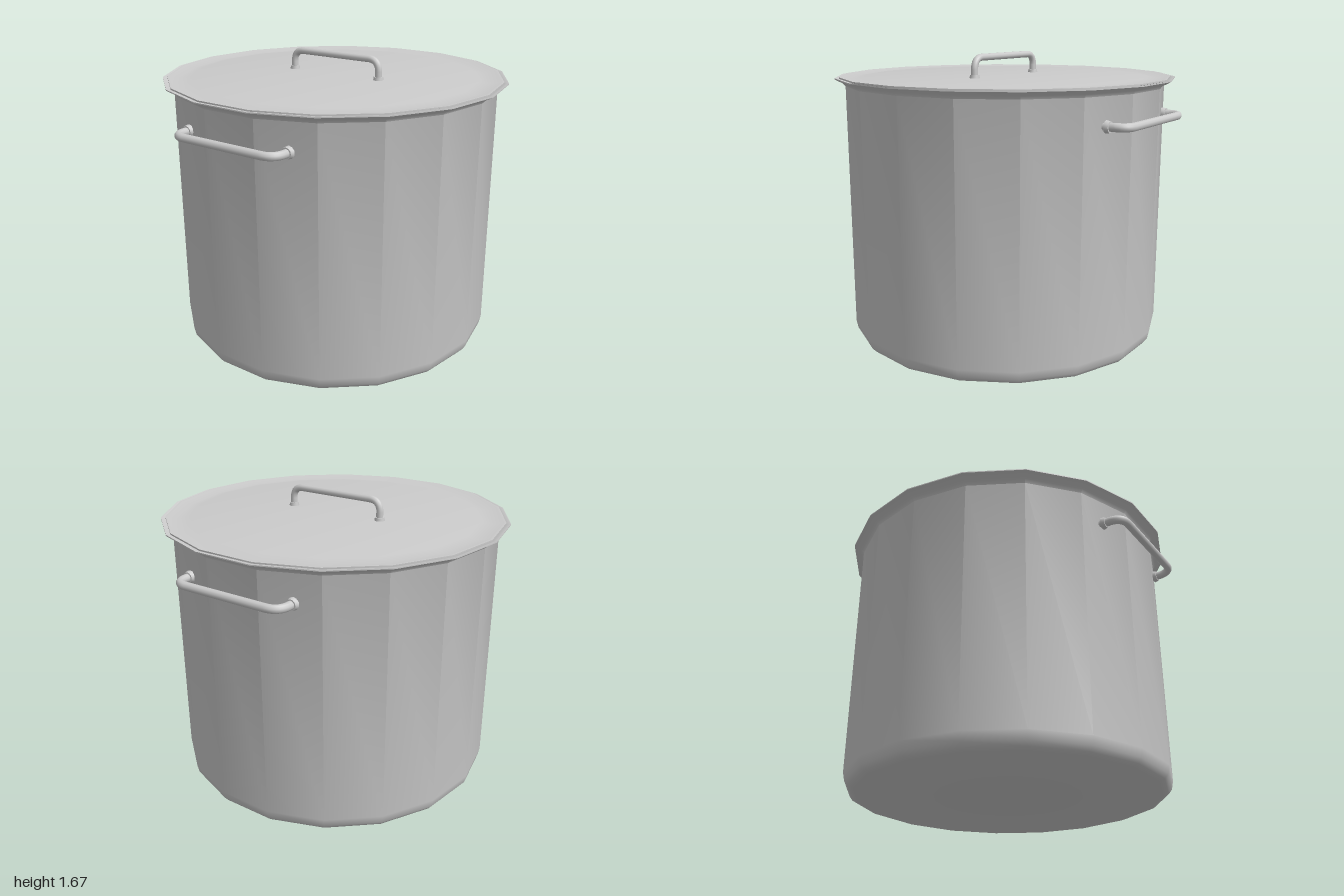
import * as THREE from 'three';
import { toCreasedNormals } from 'three/addons/utils/BufferGeometryUtils.js';

const SIDES = 18;
const grey = new THREE.MeshStandardMaterial({ color: 0xcccccc, side: THREE.DoubleSide });

function addMesh(parent, geometry, name) {
  const mesh = new THREE.Mesh(geometry, grey);
  mesh.name = name;
  parent.add(mesh);
  return mesh;
}

// Turned shape with a vertex on the x axis
function turned(profile) {
  const points = profile.map(([r, y]) => new THREE.Vector2(r, y));
  return toCreasedNormals(new THREE.LatheGeometry(points, SIDES, Math.PI / 2), 0.75);
}

// Bail handle: feet at y = 0, grip along x at the given height
function makeHandle(name, halfWidth, height, radius, bend, collarRadius) {
  const group = new THREE.Group();
  group.name = name;
  const path = new THREE.CurvePath();
  const v = (x, y) => new THREE.Vector3(x, y, 0);
  const inner = halfWidth - bend;
  const shoulder = height - bend * 0.85;
  path.add(new THREE.LineCurve3(v(-halfWidth, -0.02), v(-halfWidth, shoulder)));
  path.add(new THREE.QuadraticBezierCurve3(v(-halfWidth, shoulder), v(-halfWidth + bend * 0.12, height), v(-inner, height)));
  path.add(new THREE.LineCurve3(v(-inner, height), v(inner, height)));
  path.add(new THREE.QuadraticBezierCurve3(v(inner, height), v(halfWidth - bend * 0.12, height), v(halfWidth, shoulder)));
  path.add(new THREE.LineCurve3(v(halfWidth, shoulder), v(halfWidth, -0.02)));
  addMesh(group, new THREE.TubeGeometry(path, 72, radius, 10), 'grip');

  for (const side of [-1, 1]) {
    const collar = addMesh(group,
      toCreasedNormals(new THREE.CylinderGeometry(collarRadius * 0.88, collarRadius, 0.024, 12), 0.7), 'collar');
    collar.position.set(side * halfWidth, 0.006, 0);
  }
  return group;
}

export function createModel() {
  const model = new THREE.Group();
  model.name = 'stockPot';

  // Pot body: rounded base, straight wall, flared rim, inner wall
  addMesh(model, turned([
    [0, 0], [0.865, 0], [0.9, 0.012], [0.92, 0.038], [0.93, 0.085],
    [0.93, 1.495], [0.945, 1.512], [0.99, 1.535], [0.99, 1.541], [0.955, 1.535],
    [0.918, 1.495], [0.918, 0.085], [0.865, 0.015], [0, 0.015],
  ]), 'potBody');

  // Lid: thin edge, shallow groove and flat centre
  addMesh(model, turned([
    [0, 1.528], [0.84, 1.528], [0.9, 1.522], [0.965, 1.538], [0.965, 1.546],
    [0.95, 1.546], [0.89, 1.533], [0.83, 1.542], [0, 1.542],
  ]), 'lid');

  // Lid handle
  const lidHandle = makeHandle('lidHandle', 0.295, 0.113, 0.02, 0.065, 0.03);
  lidHandle.position.y = 1.542;
  model.add(lidHandle);

  // Front and back carrying handles
  for (const side of [1, -1]) {
    const handle = makeHandle(side > 0 ? 'frontHandle' : 'backHandle', 0.335, 0.112, 0.023, 0.08, 0.034);
    handle.rotation.x = side * Math.PI / 2;
    handle.position.set(0, 1.343, side * 0.865);
    model.add(handle);
  }

  return model;
}
